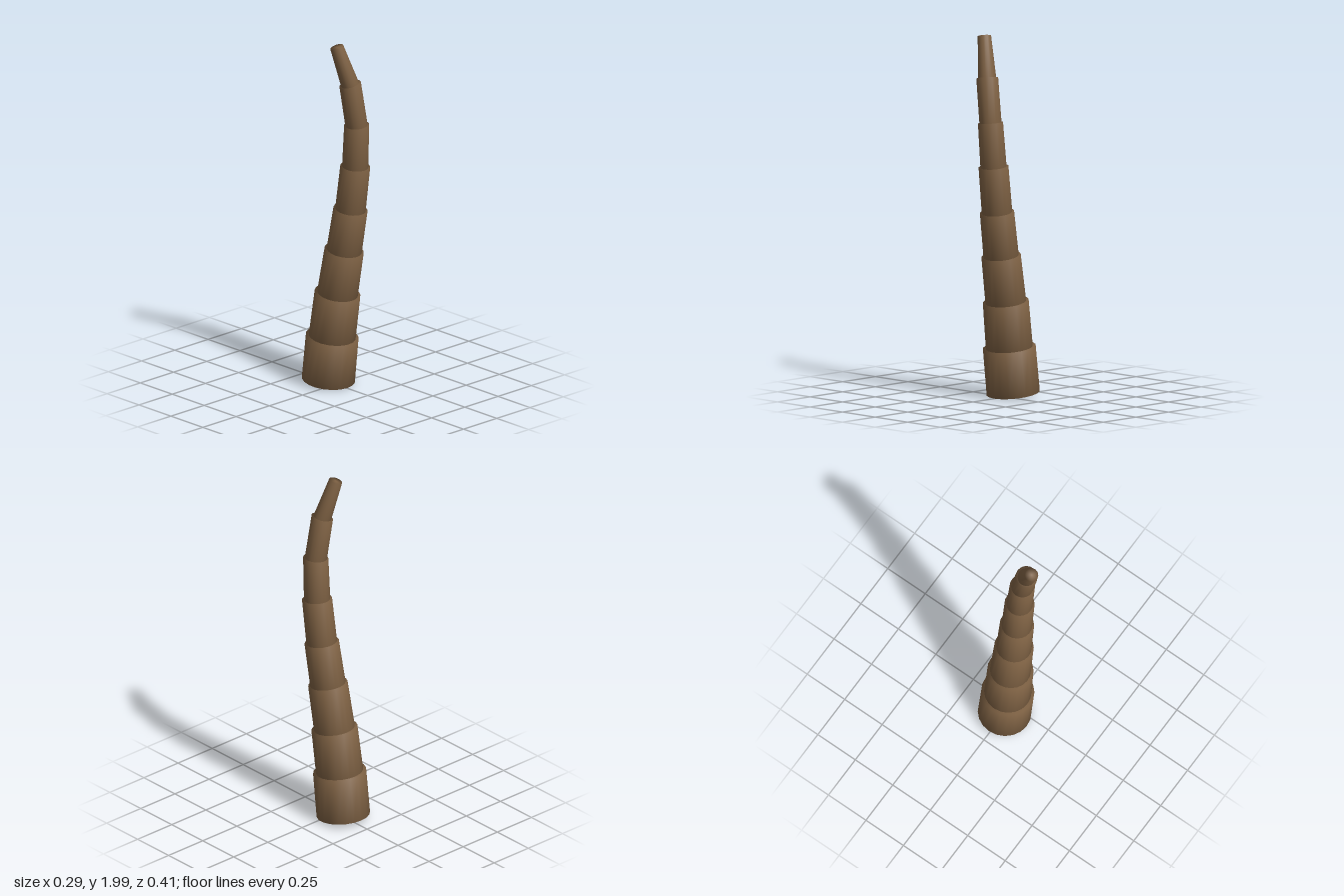
import * as THREE from 'three';
import { mergeVertices } from 'three/addons/utils/BufferGeometryUtils.js';

// Joint centres along the bending trunk, base to tip
const JOINTS = [
  [0, 0.021, -0.058], [0, 0.275, -0.028], [0.007, 0.529, 0.006],
  [0.015, 0.786, 0.05], [0.024, 1.03, 0.09], [0.029, 1.284, 0.122],
  [0.023, 1.527, 0.139], [-0.014, 1.768, 0.127], [-0.076, 1.987, 0.087],
].map((p) => new THREE.Vector3(...p));

// Bottom and top radius of each segment
const RADII = [
  [0.146, 0.145], [0.129, 0.126], [0.112, 0.108], [0.097, 0.094],
  [0.084, 0.082], [0.072, 0.069], [0.061, 0.06], [0.05, 0.037],
];

// Ring orientation: average of the neighbouring directions
const UP = new THREE.Vector3(0, 1, 0);
const TILTS = JOINTS.map((_, i) => {
  const before = JOINTS[Math.max(i - 1, 0)];
  const after = JOINTS[Math.min(i + 1, JOINTS.length - 1)];
  return new THREE.Quaternion().setFromUnitVectors(UP, after.clone().sub(before).normalize());
});

// A closed tapered drum whose two ends follow the tilt of their joints
function segmentGeometry(i) {
  const [bottom, top] = RADII[i];
  const geometry = new THREE.CylinderGeometry(top, bottom, 1, 20);
  const position = geometry.attributes.position;
  const v = new THREE.Vector3();
  for (let k = 0; k < position.count; k++) {
    v.fromBufferAttribute(position, k);
    const joint = v.y > 0 ? i + 1 : i;
    // Sink each base slightly into the segment below
    v.y = v.y < 0 && i > 0 ? -0.01 : 0;
    v.applyQuaternion(TILTS[joint]).add(JOINTS[joint]);
    position.setXYZ(k, v.x, v.y, v.z);
  }
  // Share vertices so shading rolls softly over the rims
  geometry.deleteAttribute('normal');
  geometry.deleteAttribute('uv');
  const merged = mergeVertices(geometry, 1e-5);
  merged.computeVertexNormals();
  return merged;
}

export function createModel() {
  const bark = new THREE.MeshStandardMaterial({ color: 0x7f6244 });
  bark.name = 'bark';

  const trunk = new THREE.Group();
  trunk.name = 'trunk';
  RADII.forEach((_, i) => {
    const segment = new THREE.Mesh(segmentGeometry(i), bark);
    segment.name = `trunkSegment${i + 1}`;
    trunk.add(segment);
  });
  return trunk;
}
